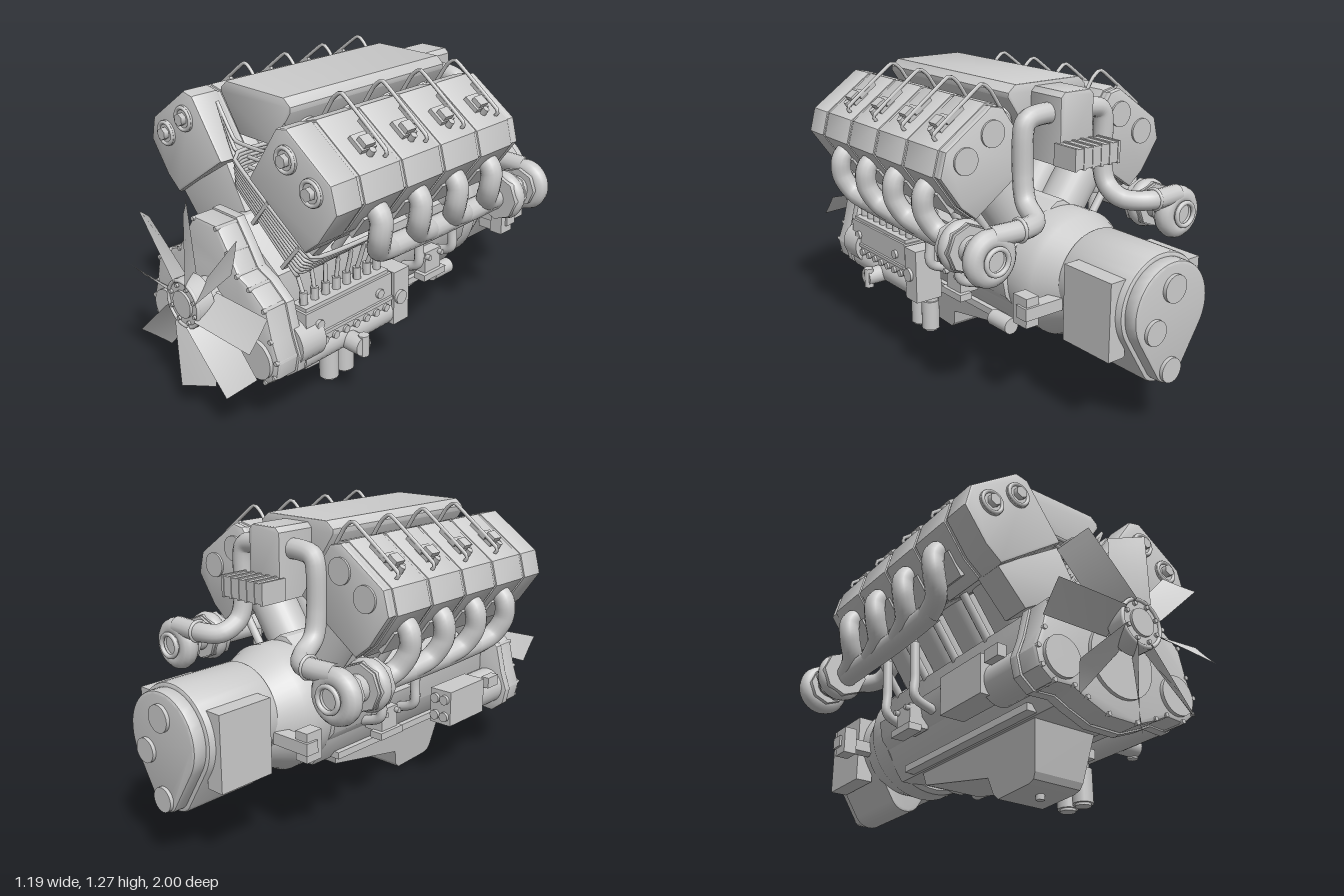
import * as THREE from 'three';
import { toCreasedNormals } from 'three/addons/utils/BufferGeometryUtils.js';

const mat = new THREE.MeshStandardMaterial({ color: 0xcccccc });
const thin = new THREE.MeshStandardMaterial({ color: 0xcccccc, side: THREE.DoubleSide });
const V = (a) => new THREE.Vector3(...a);
const TILT = 0.61; // lean of each cylinder bank from vertical

export function createModel() {
  const root = new THREE.Group();
  root.name = 'vEightEngine';
  const add = (name, geo, p = [0, 0, 0], r = [0, 0, 0], m = mat) => {
    const mesh = new THREE.Mesh(geo, m);
    mesh.name = name;
    mesh.position.set(...p);
    mesh.rotation.set(...r);
    root.add(mesh);
  };
  const box = (name, size, p, r) => add(name, new THREE.BoxGeometry(...size), p, r);
  const cyl = (name, r, h, p, rot, n = 20) => add(name, new THREE.CylinderGeometry(r, r, h, n), p, rot);
  const cylX = (name, r, h, p, n = 16) => cyl(name, r, h, p, [0, 0, Math.PI / 2], n);
  const cylZ = (name, r, h, p, n = 24) => cyl(name, r, h, p, [Math.PI / 2, 0, 0], n);
  const torus = (name, r, t, p, rot) => add(name, new THREE.TorusGeometry(r, t, 12, 32), p, rot);
  const extrude = (name, shape, z0, z1, bevel = 0.008) => {
    const g = new THREE.ExtrudeGeometry(shape, { depth: z1 - z0 - 2 * bevel, bevelEnabled: bevel > 0,
      bevelSize: bevel, bevelThickness: bevel, bevelOffset: -bevel, bevelSegments: 2, curveSegments: 20 });
    add(name, toCreasedNormals(g, 0.6), [0, 0, z0 + bevel]);
  };
  const poly = (pts) => new THREE.Shape(pts.map(([x, y]) => new THREE.Vector2(x, y)));
  // closes a half outline (bottom to top) with its mirror
  const mirrored = (half) => poly([...half, ...half.map(([x, y]) => [-x, y]).reverse()]);
  const tube = (name, pts, r, seg = 28, tension = 0.5) =>
    add(name, new THREE.TubeGeometry(new THREE.CatmullRomCurve3(pts.map(V), false, 'catmullrom', tension), seg, r, r > 0.02 ? 14 : 6));

  // ---------- cooling fan ----------
  for (let i = 0; i < 8; i++) {
    const g = new THREE.PlaneGeometry(1, 0.305, 4, 8);
    const p = g.attributes.position;
    for (let k = 0; k < p.count; k++) {
      const t = p.getY(k) / 0.305 + 0.5;
      const a = 0.95 - 0.25 * t, w = p.getX(k) * 0.138;
      p.setXYZ(k, w * Math.cos(a), 0.08 + 0.305 * t, w * Math.sin(a) + 0.5 * w * w);
    }
    g.computeVertexNormals();
    add('fanBlade', g, [0, 0.505, 0.943], [0, 0, i * Math.PI / 4], thin);
    const b = i * Math.PI / 4 + 0.39;
    cylZ('hubBolt', 0.009, 0.02, [0.075 * Math.cos(b), 0.505 + 0.075 * Math.sin(b), 0.985], 6);
  }
  cylZ('fanHub', 0.1, 0.07, [0, 0.505, 0.95], 32);
  torus('fanHubRim', 0.093, 0.008, [0, 0.505, 0.985]);
  cylZ('fanHubCap', 0.055, 0.02, [0, 0.505, 0.985]);
  cylZ('fanShaft', 0.07, 0.1, [0, 0.505, 0.89]);

  // ---------- front gear cover ----------
  const cover = [[0.07, 0.17], [0.17, 0.21], [0.23, 0.24], [0.32, 0.235], [0.375, 0.28], [0.39, 0.35], [0.36, 0.43],
    [0.33, 0.55], [0.25, 0.61], [0.18, 0.64], [0.13, 0.72], [0.07, 0.805]];
  extrude('gearCover', mirrored(cover), 0.76, 0.865, 0.015);
  extrude('gearCoverFlange', mirrored(cover.map(([x, y]) => [x * 1.02, 0.48 + (y - 0.48) * 1.02])), 0.73, 0.77, 0.004);
  cylZ('crankNose', 0.15, 0.03, [0, 0.4, 0.865], 32);

  // ---------- crankcase and sump ----------
  extrude('crankcase', mirrored([[0.16, 0.25], [0.19, 0.29], [0.25, 0.4], [0.25, 0.616], [0.02, 0.776]]), -0.36, 0.73);
  box('sumpFlange', [0.42, 0.03, 0.84], [0, 0.27, 0.17]);
  const pan = new THREE.ExtrudeGeometry(poly([[0.56, 0.26], [0.515, 0.06], [0.5, 0.035], [0.47, 0.025], [0.28, 0.015], [0.255, 0.04],
    [0.235, 0.11], [-0.19, 0.195], [-0.21, 0.28]]), { depth: 0.3, bevelEnabled: false });
  pan.translate(0, 0, -0.15).rotateY(-Math.PI / 2);
  const pp = pan.attributes.position;
  for (let i = 0; i < pp.count; i++) pp.setX(i, pp.getX(i) * (0.72 + 1.05 * pp.getY(i)));
  pan.computeVertexNormals();
  add('oilPan', pan);
  cyl('drainPlug', 0.018, 0.03, [0, 0.015, 0.4], [0, 0, 0], 6);
  for (const s of [1, -1]) {
    cylZ('gearCap', 0.08, 0.04, [s * 0.28, 0.335, 0.86], 32);
    for (const [x, y] of cover) cylZ('coverBolt', 0.01, 0.11, [s * x * 0.97, 0.48 + (y - 0.48) * 0.97, 0.815], 6);
    extrude('crankcaseRail', poly([[s * 0.24, 0.38], [s * 0.275, 0.42], [s * 0.29, 0.5], [s * 0.24, 0.51]]), -0.35, 0.14, 0.004);
    box('mountPad', [0.09, 0.1, 0.1], [s * 0.29, 0.42, -0.07]);
    box('mountFoot', [0.06, 0.03, 0.14], [s * 0.32, 0.36, -0.07]);
    for (const z of [-0.11, -0.03]) cylX('mountBolt', 0.012, 0.03, [s * 0.34, 0.45, z], 6);
  }

  // ---------- cylinder banks ----------
  for (const s of [1, -1]) {
    const dz = s > 0 ? 0 : -0.035;
    const c = Math.cos(TILT), n = Math.sin(TILT);
    // bank coordinates: u across the head (outward), v along the cylinder
    const P = (u, v, z) => [s * (0.25 + u * c + v * n), 0.86 - u * n + v * c, z + dz];
    const rot = [0, 0, -s * TILT], lean = [0, 0, s * (Math.PI / 2 - TILT)];
    const head = [[-0.18, 0], [0.18, 0], [0.205, 0.09], [0.205, 0.255], [0.125, 0.322], [-0.14, 0.322], [-0.18, 0.28]];
    const outline = (k) => poly(head.map(([u, v]) => P(u * k, 0.16 + (v - 0.16) * k, 0).slice(0, 2)));
    extrude('headFrontCover', outline(1), 0.6 + dz, 0.73 + dz, 0.012);
    extrude('headCore', outline(0.96), -0.31 + dz, 0.66 + dz, 0);
    extrude('headEndCover', outline(0.97), -0.325 + dz, -0.29 + dz, 0.01);
    extrude('airShroud', poly([[s * 0.4, 0.763], [s * 0.27, 0.62], [0, 0.78], [s * 0.1, 0.955]]), 0.58 + dz, s > 0 ? 0.64 : 0.67, 0.004);
    for (const u of [-0.077, 0.077]) {
      for (const z of [0.733, -0.328]) cylZ('headPlug', 0.054, 0.012, P(u, 0.23, z), 32);
      torus('plugRing', 0.045, 0.008, P(u, 0.23, 0.739));
      cylZ('plugNut', 0.026, 0.035, P(u, 0.23, 0.744), 6);
    }
    for (let i = 0; i < 4; i++) {
      const z = 0.485 - i * 0.22;
      extrude('rockerCover', outline(1), z - 0.105 + dz, z + 0.105 + dz, 0.012);
      cyl('cylinderBarrel', 0.098, 0.24, P(0, -0.1, z), rot, 28);
      cyl('pushrodTube', 0.018, 0.3, P(0.13, -0.13, z - 0.06), rot, 10);
      // cover latch
      box('latchBase', [0.075, 0.02, 0.075], P(0.01, 0.33, z), rot);
      box('latchBlock', [0.045, 0.03, 0.05], P(0.02, 0.345, z), rot);
      cyl('latchScrew', 0.014, 0.03, P(0.06, 0.335, z), rot, 8);
      box('latchHook', [0.09, 0.016, 0.016], P(-0.03, 0.345, z - 0.05), rot);
      // return pipe hugging the cover
      tube('overCoverPipe', [[s * 0.1, 1.0, z - 0.05 + dz], P(-0.215, 0.3, z - 0.05), P(-0.2, 0.355, z - 0.05),
        P(-0.165, 0.36, z - 0.05), P(0.08, 0.35, z - 0.05), P(0.09, 0.325, z - 0.05)], 0.008, 40, 0.2);
      // intake stub between air duct and head
      cyl('intakeStub', 0.042, 0.12, [s * 0.17, 1.11, z + dz], lean, 16);
      cyl('intakeCollar', 0.05, 0.025, [s * 0.165, 1.113, z + dz], lean, 16);
      tube('exhaustRunner', [[s * 0.46, 0.895, z + dz], [s * 0.515, 0.89, z + dz], [s * 0.542, 0.85, z + dz], [s * 0.535, 0.78, z + dz],
        [s * 0.5, 0.71, z - 0.035 + dz], [s * 0.475, 0.68, z - 0.13 + dz]], 0.044);
      box('exhaustFlange', [0.02, 0.11, 0.12], P(0.205, 0.1, z), rot);
    }
    tube('exhaustManifold', [[s * 0.475, 0.685, 0.4 + dz], [s * 0.47, 0.675, 0.1 + dz], [s * 0.47, 0.675, -0.34 + dz]], 0.046);
    for (const z of [0.06, -0.16]) tube('oilDrainTube', [[s * 0.37, 0.7, z], [s * 0.365, 0.55, z], [s * 0.36, 0.46, z], [s * 0.27, 0.42, z]], 0.021);

    // ---------- turbocharger ----------
    const T = (z) => [s * 0.48, 0.685, z + dz];
    torus('turbineVolute', 0.07, 0.038, T(-0.35));
    cylZ('turbineFace', 0.1, 0.085, T(-0.345), 8);
    cylZ('turbineOutlet', 0.095, 0.02, T(-0.39), 8);
    cylZ('turboCore', 0.055, 0.14, T(-0.43), 16);
    cylZ('turboBand', 0.085, 0.02, T(-0.47), 8);
    torus('compressorVolute', 0.072, 0.042, T(-0.52));
    cylZ('compressorBody', 0.075, 0.06, T(-0.52));
    add('compressorInlet', new THREE.CylinderGeometry(0.05, 0.055, 0.06, 24, 1, true), T(-0.545), [Math.PI / 2, 0, 0], thin);
    torus('inletRing', 0.05, 0.01, T(-0.57));
    tube('boostPipe', [[s * 0.475, 0.765, -0.52 + dz], [s * 0.32, 0.765, -0.52 + dz], [s * 0.235, 0.77, -0.48], [s * 0.215, 0.82, -0.4],
      [s * 0.21, 0.92, -0.375], [s * 0.21, 1.08, -0.375], [s * 0.19, 1.135, -0.375], [s * 0.13, 1.15, -0.375], [s * 0.05, 1.15, -0.375]], 0.042, 56);
    torus('pipeClamp', 0.043, 0.008, [s * 0.34, 0.765, -0.52 + dz], [0, Math.PI / 2, 0]);
  }

  // ---------- intake duct in the valley ----------
  extrude('airDuct', mirrored([[0.1, 1.055], [0.2, 1.205], [0.2, 1.225], [0.165, 1.255]]), -0.27, 0.6, 0.006);
  extrude('ductElbow', mirrored([[0.085, 0.95], [0.085, 1.22], [0.065, 1.24]]), -0.45, -0.26);
  box('airHeater', [0.22, 0.08, 0.12], [0, 1.005, -0.51]);
  for (let i = 0; i < 6; i++) box('heaterRib', [0.012, 0.09, 0.125], [-0.11 + i * 0.044, 1.005, -0.51]);
  for (let i = 0; i < 4; i++) cylZ('valleyRail', 0.01, 0.88, [-0.06 + i * 0.04, 0.95 + (i % 2) * 0.04, 0.15], 8);
  for (let i = 0; i < 3; i++) tube('valleyCrossPipe', [[-0.2, 1.17, 0.62], [-0.09, 1.04 - i * 0.04, 0.63], [0.09, 1.04 - i * 0.04, 0.63], [0.2, 1.17, 0.62]], 0.008, 24, 0.15);

  // ---------- injection pump and fuel lines ----------
  box('pumpBody', [0.11, 0.15, 0.47], [0.325, 0.42, 0.48]);
  box('pumpTopRail', [0.08, 0.02, 0.45], [0.33, 0.5, 0.48]);
  cylZ('pumpCamBox', 0.062, 0.5, [0.32, 0.3, 0.47]);
  box('pumpLedge', [0.13, 0.015, 0.47], [0.325, 0.385, 0.48]);
  cylZ('pumpDrive', 0.09, 0.12, [0.32, 0.37, 0.7]);
  box('pumpGovernor', [0.13, 0.24, 0.09], [0.32, 0.37, 0.19]);
  cylX('governorCap', 0.03, 0.02, [0.388, 0.37, 0.2]);
  cylX('feedPump', 0.04, 0.1, [0.4, 0.285, 0.48]);
  cyl('feedPumpKnob', 0.022, 0.09, [0.44, 0.285, 0.47], [0, 0, 0], 8);
  for (let i = 0; i < 8; i++) {
    const z = 0.68 - i * 0.057, k = i * 0.0135, side = i % 2 ? 1 : -1, zi = 0.485 - (i >> 1) * 0.22;
    cyl('pumpOutlet', 0.017, 0.07, [0.33, 0.525, z], [0, 0, 0], 6);
    cylX('pumpPlug', 0.016, 0.02, [0.38, 0.35, z], 8);
    tube('fuelLine', [[0.33, 0.55, z], [0.3 + k, 0.62 + k * 0.9, z], [0.31 + k, 0.64 + k, 0.7], [0.0, 0.9 + k, 0.7],
      [-0.02, 0.93 + k, 0.65], [side * 0.02, 0.96 + k * 0.5, zi], [side * 0.14, 1.0, zi]], 0.009, 60, 0.15);
  }
  for (const [x, y] of [[0.14, 0.83], [0.3, 0.7]]) box('fuelLineClamp', [0.015, 0.15, 0.025], [x, y, 0.703], [0, 0, -0.7]);
  for (const z of [0.65, 0.32]) cylX('pumpCoverBolt', 0.02, 0.02, [0.383, 0.43, z], 8);

  // ---------- oil filters ----------
  box('filterHead', [0.1, 0.04, 0.18], [0.18, 0.215, 0.38]);
  for (const z of [0.425, 0.335]) {
    cyl('oilFilter', 0.042, 0.14, [0.195, 0.085, z]);
    cyl('filterTip', 0.032, 0.02, [0.195, 0.015, z]);
    cyl('filterCap', 0.034, 0.07, [0.19, 0.18, z]);
  }
  // ---------- compressor on the right side ----------
  box('compressorBlock', [0.11, 0.16, 0.26], [-0.335, 0.37, 0.42]);
  cylZ('compressorDrive', 0.085, 0.22, [-0.29, 0.35, 0.64]);
  for (const x of [-0.36, -0.31]) for (const y of [0.33, 0.41]) cylZ('compressorPort', 0.022, 0.03, [x, y, 0.29], 16);
  box('compressorLug', [0.04, 0.05, 0.08], [-0.375, 0.42, 0.62]);

  // ---------- flywheel housing and gearbox ----------
  const bell = [[0, 0], [0.25, 0], [0.265, 0.02], [0.265, 0.12], [0.25, 0.15], [0.2, 0.28], [0, 0.28]].map(([x, y]) => new THREE.Vector2(x, y));
  add('flywheelHousing', toCreasedNormals(new THREE.LatheGeometry(bell, 48), 0.5), [0, 0.49, -0.33], [-Math.PI / 2, 0, 0]);
  // rounded drop shape: large circle above a small one
  const drop = (d) => new THREE.Shape().absarc(0, 0.515, 0.205 - d, -0.55, Math.PI + 0.55, false)
    .absarc(0, 0.285, 0.085 - d, Math.PI + 0.55, 2 * Math.PI - 0.55, false);
  extrude('gearboxCase', drop(0), -0.93, -0.58, 0.012);
  extrude('gearboxEndCover', drop(0.018), -0.985, -0.92, 0.012);
  for (const [x, y, r] of [[0, 0.6, 0.055], [0.09, 0.45, 0.05], [0, 0.275, 0.05]]) cylZ('gearboxCap', r, 0.03, [x, y, -0.985]);
  for (const s of [1, -1]) {
    box('gearboxSidePlate', [0.08, 0.31, 0.25], [s * 0.19, 0.49, -0.775]);
    box('rearMountArm', [0.18, 0.05, 0.06], [s * 0.29, 0.46, -0.58]);
    box('rearMountPad', [0.06, 0.12, 0.08], [s * 0.34, 0.46, -0.56]);
  }
  cylZ('starterMotor', 0.035, 0.12, [0.22, 0.265, -0.26]);
  return root;
}
